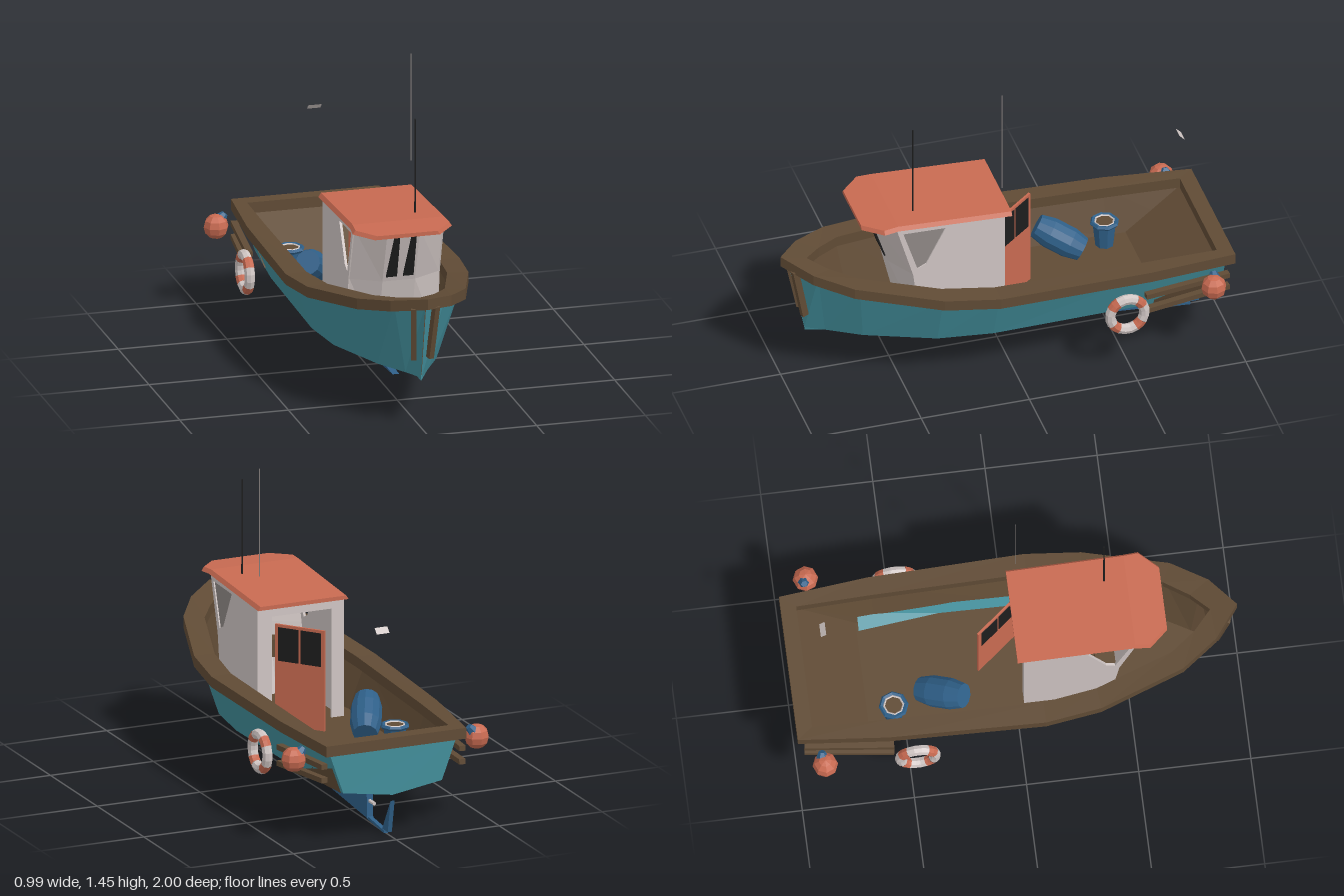
import * as THREE from 'three';

const mat = (name, color, side = THREE.FrontSide) => {
  const m = new THREE.MeshStandardMaterial({ color, side });
  m.name = name;
  m.flatShading = true;
  return m;
};

export function createModel() {
  const boat = new THREE.Group();
  boat.name = 'fishingBoat';
  const teal = mat('teal hull paint', 0x428e9b, THREE.DoubleSide);
  const wood = mat('brown wood', 0x604b35, THREE.DoubleSide);
  const orange = mat('orange paint', 0xc86a51);
  const white = mat('off white paint', 0xcfc5c3, THREE.DoubleSide);
  const blue = mat('blue plastic', 0x2f6089);
  const black = mat('black', 0x1d1d1d);
  const grey = mat('grey metal', 0x8f8886);

  const add = (name, geo, material, parent = boat) => {
    const m = new THREE.Mesh(geo, material);
    m.name = name;
    parent.add(m);
    return m;
  };

  // Skin between rows of points; optionally closed around, along, or capped
  const loft = (rows, { cols = false, ring = false, start = false, end = false } = {}) => {
    const pos = [], n = rows[0].length, R = rows.length;
    const tri = (...p) => p.forEach(v => pos.push(...v));
    for (let i = 0; i < (ring ? R : R - 1); i++) {
      const a = rows[i], b = rows[(i + 1) % R];
      for (let j = 0; j < (cols ? n : n - 1); j++) {
        const k = (j + 1) % n;
        tri(a[j], a[k], b[j]);
        tri(a[k], b[k], b[j]);
      }
    }
    for (let k = 1; k < n - 1; k++) {
      if (start) tri(rows[0][0], rows[0][k + 1], rows[0][k]);
      if (end) tri(rows[R - 1][0], rows[R - 1][k], rows[R - 1][k + 1]);
    }
    const g = new THREE.BufferGeometry();
    g.setAttribute('position', new THREE.Float32BufferAttribute(pos, 3));
    g.computeVertexNormals();
    return g;
  };

  const vecs = pts => pts.map(p => new THREE.Vector2(...p));
  const shapeOf = pts => new THREE.Shape(vecs(pts));
  // Plate drawn in (z, y), with its outer face at the given x
  const sidePlate = (shape, depth, x) =>
    new THREE.ExtrudeGeometry(shape, { depth, bevelEnabled: false }).rotateY(-Math.PI / 2).translate(x, 0, 0);

  // Straight bar between two points
  const beam = (name, p, q, w, h, material) => {
    const a = new THREE.Vector3(...p), b = new THREE.Vector3(...q);
    const m = add(name, new THREE.BoxGeometry(w, h, a.distanceTo(b)), material);
    m.position.copy(a).lerp(b, 0.5);
    m.lookAt(b);
  };

  // Hull stations: top half width, top y, top z, chine half width, chine y, chine z, keel y
  const stations = [
    [0.315, 0.445, -0.965, 0.24, 0.235, -0.96, 0.197],
    [0.35, 0.46, -0.6, 0.27, 0.232, -0.6, 0.197],
    [0.37, 0.47, 0.1, 0.28, 0.23, 0.1, 0.202],
    [0.34, 0.49, 0.35, 0.25, 0.232, 0.35, 0.207],
    [0.225, 0.545, 0.7, 0.135, 0.236, 0.66, 0.213],
    [0.115, 0.57, 0.86, 0.05, 0.238, 0.81, 0.217],
    [0.002, 0.6, 0.965, 0.001, 0.235, 0.89, 0.22],
  ];
  const hullRows = t => stations.map(([w, s, z, c, cy, zc, k]) => {
    const a = Math.max(w - t, 0), b = Math.max(c - t, 0);
    const zTop = z - Math.sign(z - 0.2) * t, zLow = zc - Math.sign(zc - 0.2) * t;
    return [[-a, s, zTop], [-b, cy + t, zLow], [0, k + t, zLow], [b, cy + t, zLow], [a, s, zTop]];
  });
  add('hull', loft(hullRows(0), { start: true }), teal);
  add('hullLining', loft(hullRows(0.012), { start: true }), wood);

  // Deck floor, sloping stern panel and a painted strip along the floor
  const floor = stations.slice(0, 6).map(r => [[-r[3], 0.255, r[5]], [r[3], 0.255, r[5]]]);
  add('deckFloor', loft(floor), wood);
  add('sternSlope', loft([[[-0.3, 0.43, -0.94], [0.3, 0.43, -0.94]], [[-0.28, 0.257, -0.67], [0.28, 0.257, -0.67]]]), wood);
  add('innerStripe', loft([
    [[0.215, 0.26, -0.66], [0.285, 0.3, -0.66]],
    [[0.255, 0.26, -0.3], [0.285, 0.3, -0.3]],
    [[0.25, 0.26, 0.12], [0.28, 0.3, 0.12]]]), teal);

  // Gunwale: outer x, z, y, inner x, z, y, mirrored into a closed ring
  const rail = [
    [0.34, -1, 0.475, 0.285, -0.93, 0.475], [0.38, -0.6, 0.483, 0.295, -0.6, 0.483],
    [0.4, 0.1, 0.495, 0.305, 0.1, 0.497], [0.37, 0.35, 0.515, 0.275, 0.34, 0.517],
    [0.25, 0.73, 0.575, 0.165, 0.69, 0.57], [0.14, 0.89, 0.607, 0.085, 0.8, 0.588], [0, 1, 0.637, 0, 0.88, 0.607],
  ];
  const railRow = (s, [ox, oz, oy, ix, iz, iy]) =>
    [[s * ox, oy - 0.05, oz], [s * ox, oy, oz], [s * ix, iy, iz], [s * ix, iy - 0.05, iz]];
  const ring = [...rail.map(r => railRow(1, r)), ...rail.slice(0, -1).reverse().map(r => railRow(-1, r))];
  add('gunwale', loft(ring, { cols: true, ring: true }), wood);

  // Bare wood patch on the left quarter
  add('hullPatch', loft([[[0.273, 0.232, -0.64], [0.287, 0.265, -0.64]], [[0.248, 0.235, -0.955], [0.291, 0.355, -0.955]]]), wood);

  for (const s of [-1, 1]) {
    beam('stemPost', [s * 0.052, 0.585, 0.95], [s * 0.037, 0.33, 0.9], 0.024, 0.03, wood);
    for (const [y0, y1] of [[0.372, 0.36], [0.31, 0.285]])
      beam('rubbingStrake', [s * 0.335, y0, -0.97], [s * 0.375, y1, -0.575], 0.03, 0.024, wood);

    // Life ring with four bands on the diagonals
    const life = new THREE.Group();
    life.name = 'lifeRing';
    for (let i = 0; i < 4; i++) {
      const turn = i * Math.PI / 2 + Math.PI / 6;
      add('ringBand', new THREE.TorusGeometry(0.079, 0.0245, 8, 2, Math.PI / 6).rotateZ(turn), orange, life);
      add('ringBody', new THREE.TorusGeometry(0.079, 0.024, 8, 3, Math.PI / 3).rotateZ(turn + Math.PI / 6), white, life);
    }
    life.rotation.y = Math.PI / 2;
    life.position.set(s * 0.424, 0.315, -0.475);
    boat.add(life);

    // Round fender with its cap
    const fender = add('fender', new THREE.SphereGeometry(0.057, 8, 6), orange);
    fender.position.set(s * 0.44, 0.393, s < 0 ? -0.89 : -0.87);
    const cap = add('fenderCap', new THREE.CylinderGeometry(0.015, 0.028, 0.03, 6), blue, fender);
    cap.position.set(-s * 0.034, 0.042, -0.01);
    cap.rotation.z = s * 0.7;
  }

  // Skeg, shoe, rudder and propeller shaft
  const fin = (name, pts, d) => add(name, sidePlate(shapeOf(pts), d, d / 2), blue);
  fin('skeg', [[0.48, 0.115], [-0.715, 0.152], [-0.72, 0.022]], 0.03);
  fin('rudderShoe', [[-0.7, 0.03], [-0.89, 0.012], [-0.89, 0], [-0.7, 0.016]], 0.02);
  fin('rudder', [[-0.87, 0.016], [-0.96, 0.17], [-0.93, 0.016]], 0.02);
  add('propellerShaft', new THREE.CylinderGeometry(0.009, 0.009, 0.06, 6).rotateX(Math.PI / 2), white).position.set(0, 0.1, -0.735);

  // Cabin side walls with a raked window opening, glazed on the left
  const opening = [[0.3, 0.795], [0.495, 0.8], [0.43, 0.6], [0.39, 0.62]];
  for (const x of [0.21, -0.198]) {
    const wall = shapeOf([[0.03, 0.255], [0.41, 0.255], [0.45, 0.57], [0.525, 0.825], [0.03, 0.81]]);
    wall.holes.push(new THREE.Path(vecs(opening)));
    add('cabinSide', sidePlate(wall, 0.012, x), white);
  }
  add('sideWindow', sidePlate(shapeOf(opening), 0.004, 0.204), grey);

  // Back wall with doorway
  const back = shapeOf([[-0.21, 0.255], [-0.15, 0.255], [-0.15, 0.76], [0.14, 0.76], [0.14, 0.255], [0.21, 0.255], [0.21, 0.815], [-0.21, 0.815]]);
  add('cabinBack', new THREE.ExtrudeGeometry(back, { depth: 0.012, bevelEnabled: false }), white).position.z = 0.025;

  // Faceted raked front
  const front = [[0.255, 0.41, 0.45], [0.57, 0.45, 0.525], [0.83, 0.525, 0.61]];
  add('cabinFront', loft(front.map(([y, zs, zc]) =>
    [[-0.205, y, zs], [-0.075, y, zc], [0.075, y, zc], [0.205, y, zs]])), white);
  for (const [a, b] of [[-0.062, -0.012], [0.016, 0.064]]) {
    const w = shapeOf([[a, 0], [b, 0], [b - 0.004, 0.225], [a + 0.022, 0.225]]);
    const pane = add('frontWindow', new THREE.ExtrudeGeometry(w, { depth: 0.006, bevelEnabled: false }), black);
    pane.position.set(0, 0.595, 0.534);
    pane.rotation.x = Math.atan2(0.085, 0.26);
  }

  // Roof with a visor cut back at the corners
  const roof = [[-0.005, 0.22, 0.822], [0.52, 0.222, 0.847], [0.585, 0.228, 0.842], [0.67, 0.15, 0.836]].map(([z, w, y]) =>
    [[w, y - 0.018, z], [w - 0.012, y, z], [-w + 0.012, y, z], [-w, y - 0.018, z]]);
  add('cabinRoof', loft(roof, { cols: true, start: true, end: true }), orange);

  // Open cabin door with dark panes
  const door = new THREE.Group();
  door.name = 'cabinDoor';
  add('doorPanel', new THREE.BoxGeometry(0.245, 0.465, 0.01), orange, door);
  for (const x of [-0.055, 0.055])
    add('doorPane', new THREE.BoxGeometry(0.1, 0.155, 0.016), black, door).position.set(x, 0.142, 0);
  door.position.set(0.043, 0.492, -0.065);
  door.rotation.y = -Math.atan2(0.16, 0.13);
  boat.add(door);

  // Stool and helm inside the cabin
  add('stool', new THREE.CylinderGeometry(0.05, 0.04, 0.16, 8), orange).position.set(0.1, 0.4, 0.25);
  add('helmConsole', new THREE.BoxGeometry(0.36, 0.08, 0.07), wood).position.set(0, 0.5, 0.385);
  add('helmScreen', new THREE.BoxGeometry(0.09, 0.07, 0.03), black).position.set(0.14, 0.575, 0.38);

  // Masts and the raised plate
  add('mast', new THREE.CylinderGeometry(0.003, 0.004, 0.46, 6), black).position.set(0.105, 1.05, 0.42);
  add('aerial', new THREE.CylinderGeometry(0.0015, 0.002, 0.5, 5), grey).position.set(0.195, 1.2, 0.035);
  const plate = add('raisedPlate', new THREE.PlaneGeometry(0.062, 0.034), white);
  plate.position.set(0, 0.927, -0.847);
  plate.rotation.x = -Math.PI * 0.75;

  // Barrel leaning on deck
  const profile = [[0, -0.115], [0.055, -0.115], [0.07, -0.05], [0.07, 0.05], [0.055, 0.115], [0, 0.115]];
  const barrel = add('barrel', new THREE.LatheGeometry(vecs(profile), 12), blue);
  barrel.position.set(-0.155, 0.365, -0.335);
  barrel.quaternion.setFromUnitVectors(new THREE.Vector3(0, 1, 0), new THREE.Vector3(-0.4, 0.45, 0.8).normalize());

  // Bucket with rope
  const bucket = new THREE.Group();
  bucket.name = 'ropeBucket';
  add('bucketRim', new THREE.TorusGeometry(0.056, 0.011, 5, 8).rotateX(Math.PI / 2), blue, bucket).position.y = 0.06;
  add('bucketBody', new THREE.CylinderGeometry(0.055, 0.042, 0.12, 8), blue, bucket);
  add('bucketRope', new THREE.TorusGeometry(0.044, 0.006, 4, 8).rotateX(Math.PI / 2), white, bucket).position.y = 0.064;
  add('bucketFill', new THREE.CylinderGeometry(0.044, 0.044, 0.01, 8), wood, bucket).position.y = 0.06;
  bucket.position.set(-0.195, 0.318, -0.555);
  boat.add(bucket);

  return boat;
}
